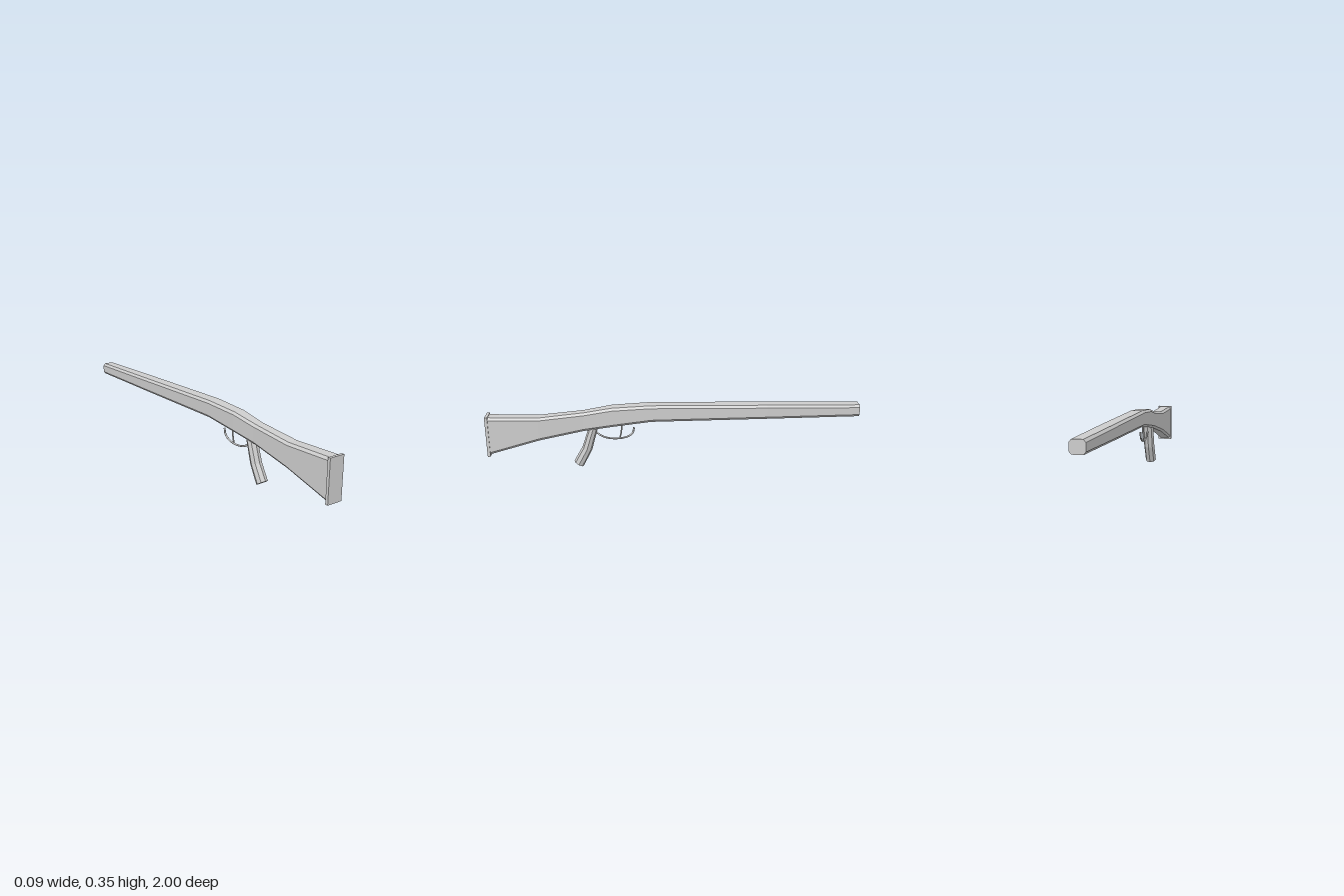
import * as THREE from 'three';

// Skin rings of [x, y, z] points; rings run counter-clockwise seen from the first end.
function loft(rings) {
  const pos = [];
  const n = rings[0].length;
  const tri = (a, b, c) => pos.push(...a, ...b, ...c);
  for (let i = 0; i < rings.length - 1; i++) {
    for (let j = 0; j < n; j++) {
      const k = (j + 1) % n;
      const a = rings[i][j], b = rings[i][k], c = rings[i + 1][k], d = rings[i + 1][j];
      tri(a, d, c);
      tri(a, c, b);
    }
  }
  const first = rings[0], last = rings[rings.length - 1];
  for (let j = 1; j < n - 1; j++) {
    tri(first[0], first[j], first[j + 1]);
    tri(last[0], last[j + 1], last[j]);
  }
  const geometry = new THREE.BufferGeometry();
  geometry.setAttribute('position', new THREE.Float32BufferAttribute(pos, 3));
  geometry.computeVertexNormals();
  return geometry;
}

export function createModel() {
  const group = new THREE.Group();
  const grey = new THREE.MeshStandardMaterial({ color: 0xcccccc });
  grey.name = 'plain grey';
  const add = (name, geometry) => {
    const mesh = new THREE.Mesh(geometry, grey);
    mesh.name = name;
    group.add(mesh);
    return mesh;
  };

  // Stock and barrel in one chamfered body: z, top, bottom, half width
  const stations = [
    [0.985, 0.299, 0.09, 0.039],
    [0.72, 0.293, 0.165, 0.037],
    [0.48, 0.318, 0.215, 0.034],
    [0.33, 0.344, 0.238, 0.04],
    [0.12, 0.356, 0.265, 0.042],
    [-0.5, 0.351, 0.274, 0.041],
    [-1, 0.346, 0.281, 0.037],
  ];
  add('body', loft(stations.map(([z, t, b, w]) => {
    const c = 0.011, h = 0.013;
    return [
      [w, b + h, z], [w, t - h, z], [w - c, t, z], [c - w, t, z],
      [-w, t - h, z], [-w, b + h, z], [c - w, b, z], [w - c, b, z],
    ];
  })));

  // Butt plate
  add('buttPlate', new THREE.BoxGeometry(0.086, 0.222, 0.015)).position.set(0, 0.192, 0.9925);

  // Bent eight-sided grip: rear z, y and forward z, y from top to bottom
  const gripEdges = [
    [0.457, 0.222, 0.402, 0.238],
    [0.494, 0.115, 0.441, 0.1],
    [0.541, 0.034, 0.491, 0.002],
  ];
  add('grip', loft(gripEdges.map(([z0, y0, z1, y1]) =>
    Array.from({ length: 8 }, (_, i) => {
      const a = (i * Math.PI) / 4;
      const s = Math.sin(a) / 2;
      return [
        0.031 * Math.cos(a),
        (y0 + y1) / 2 + (y1 - y0) * s,
        (z0 + z1) / 2 + (z1 - z0) * s,
      ];
    }))));

  // Curved guard and trigger
  const rod = (points, segments, radius) => {
    const curve = new THREE.CatmullRomCurve3(points.map(([z, y]) => new THREE.Vector3(0, y, z)));
    return new THREE.TubeGeometry(curve, segments, radius, 8);
  };
  add('triggerGuard', rod(
    [[0.425, 0.212], [0.4, 0.185], [0.36, 0.166], [0.305, 0.16], [0.25, 0.17], [0.22, 0.192], [0.211, 0.225]],
    20, 0.005));
  add('trigger', rod([[0.277, 0.245], [0.279, 0.215], [0.283, 0.19], [0.289, 0.166]], 6, 0.004));

  return group;
}
